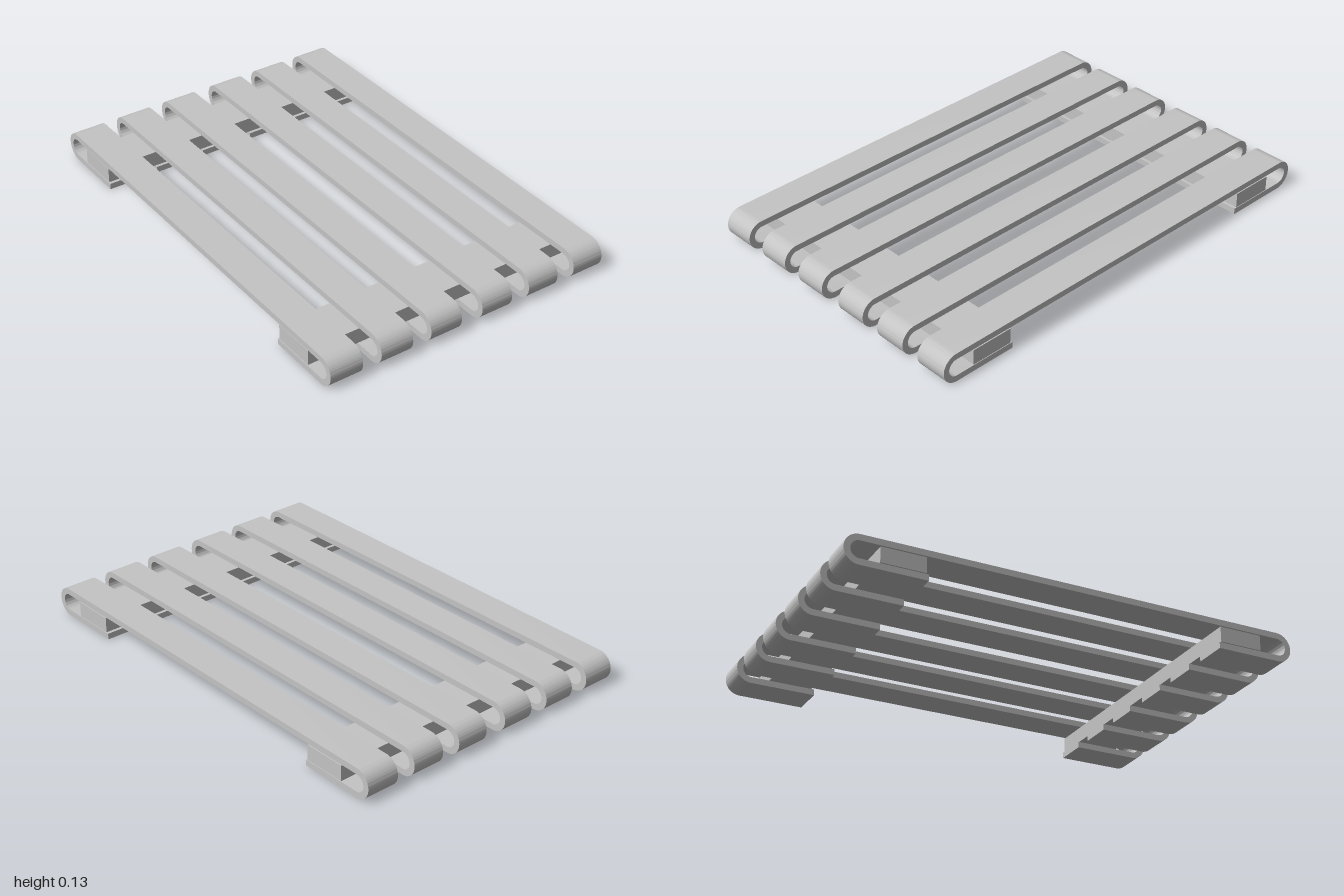
import * as THREE from 'three';
import { toCreasedNormals } from 'three/addons/utils/BufferGeometryUtils.js';

const HEIGHT = 0.13, THICK = 0.027, HALF = 1, FOOT = 0.65, SLAT_W = 0.148;
const SLAT_X = [-0.594, -0.36, -0.125, 0.125, 0.359, 0.592];

// Side profile of a slat whose ends curl under into short feet
function slatGeometry() {
  const R = HEIGHT / 2, r = R - THICK, c = HALF - R, q = Math.PI / 2;
  const s = new THREE.Shape();
  s.moveTo(FOOT, 0);
  s.lineTo(c, 0);
  s.absarc(c, R, R, -q, q, false);
  s.lineTo(-c, HEIGHT);
  s.absarc(-c, R, R, q, 3 * q, false);
  s.lineTo(-FOOT, 0);
  s.lineTo(-FOOT, THICK);
  s.lineTo(-c, THICK);
  s.absarc(-c, R, r, 3 * q, q, true);
  s.lineTo(c, HEIGHT - THICK);
  s.absarc(c, R, r, q, -q, true);
  s.lineTo(FOOT, THICK);
  s.closePath();
  const g = new THREE.ExtrudeGeometry(s, { depth: SLAT_W, bevelEnabled: false, curveSegments: 20 });
  g.translate(0, 0, -SLAT_W / 2);
  g.rotateY(-Math.PI / 2);
  return toCreasedNormals(g, 0.6);
}

export function createModel() {
  const model = new THREE.Group();
  model.name = 'slattedRack';
  const grey = new THREE.MeshStandardMaterial({ color: 0xc4c4c4 });
  grey.name = 'light grey';

  // Six curled slats
  const slat = slatGeometry();
  SLAT_X.forEach((x, i) => {
    const mesh = new THREE.Mesh(slat, grey);
    mesh.name = `slat${i + 1}`;
    mesh.position.x = x;
    model.add(mesh);
  });

  // Cross bars held inside the curls, front and back
  const barH = HEIGHT - 2 * THICK;
  const bar = new THREE.BoxGeometry(1.334, barH - 0.008, 0.192);
  for (const [name, side] of [['frontCrossBar', 1], ['backCrossBar', -1]]) {
    const mesh = new THREE.Mesh(bar, grey);
    mesh.name = name;
    mesh.position.set(0, HEIGHT / 2, side * 0.755);
    model.add(mesh);
  }
  return model;
}
